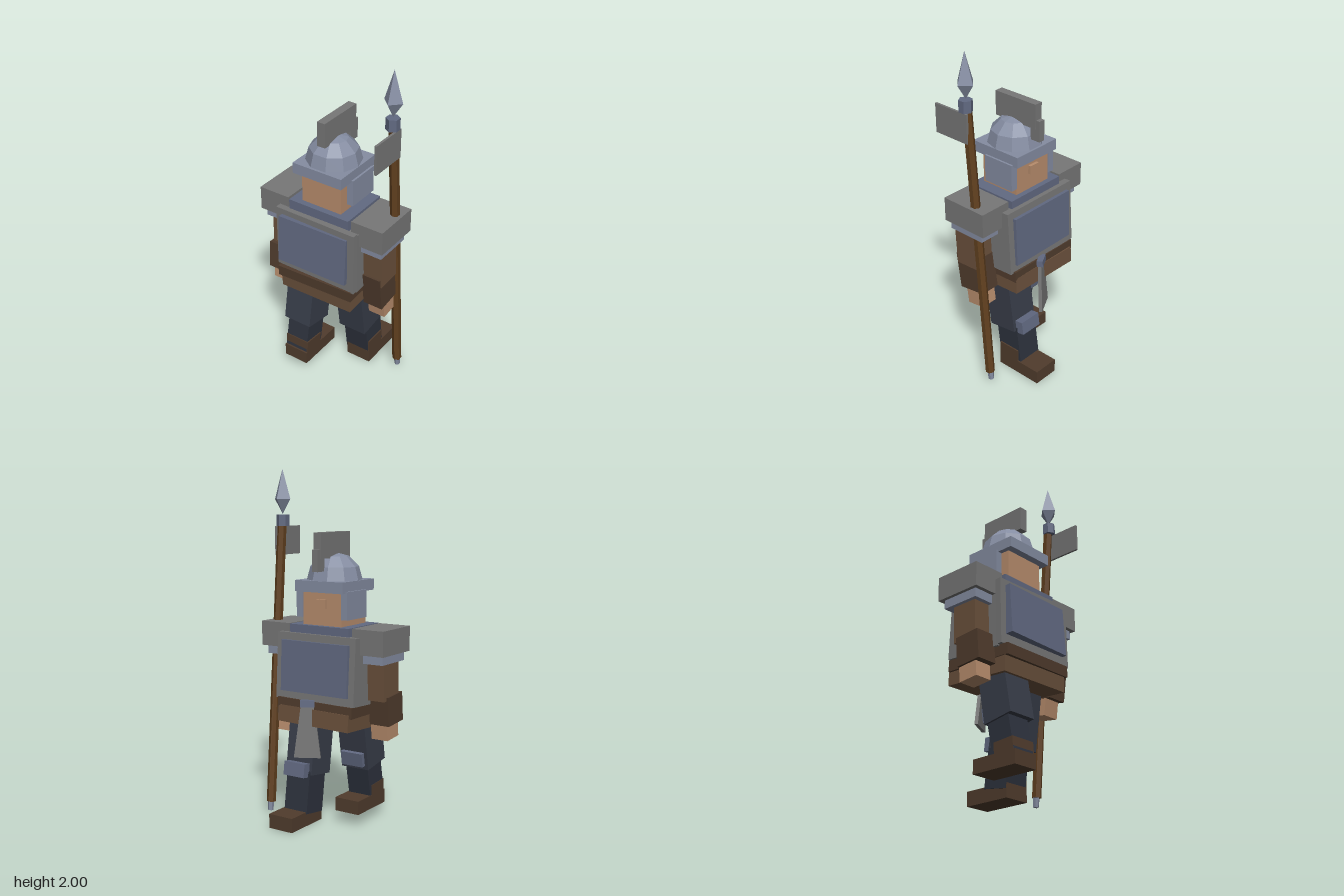
import * as THREE from 'three';

const mat = (color) => new THREE.MeshStandardMaterial({ color, flatShading: true });
const M = {
  grey: mat(0x777777), steel: mat(0x858da2), darkSteel: mat(0x626a82), skin: mat(0xb88d6d),
  tunic: mat(0x6b513c), leather: mat(0x503c2d), cloth: mat(0x383d49), shin: mat(0x2d323d), wood: mat(0x61401f),
};

export function createModel() {
  const root = new THREE.Group();

  const add = (parent, name, geometry, material, position, rotation = [0, 0, 0]) => {
    const mesh = new THREE.Mesh(geometry, material);
    mesh.name = name;
    mesh.position.set(...position);
    mesh.rotation.set(...rotation);
    parent.add(mesh);
    return mesh;
  };
  // Box given by its extents on each axis, turned about its own centre
  const box = (parent, name, material, [x0, x1], [y0, y1], [z0, z1], rotation) =>
    add(parent, name, new THREE.BoxGeometry(x1 - x0, y1 - y0, z1 - z0), material,
      [(x0 + x1) / 2, (y0 + y1) / 2, (z0 + z1) / 2], rotation);
  const group = (name) => {
    const g = new THREE.Group();
    g.name = name;
    root.add(g);
    return g;
  };

  // Head; the figure looks towards -z
  const head = group('head');
  box(head, 'face', M.skin, [-0.135, 0.12], [1.13, 1.36], [-0.065, 0.18]);
  box(head, 'nose', M.skin, [-0.04, 0.025], [1.235, 1.285], [-0.083, -0.05]);

  // Helmet with brim, cheek guards and crest
  const helmet = group('helmet');
  box(helmet, 'brim', M.steel, [-0.163, 0.15], [1.325, 1.388], [-0.1, 0.223]);
  add(helmet, 'dome', new THREE.SphereGeometry(0.157, 10, 3, 0, Math.PI * 2, 0, Math.PI / 2),
    M.steel, [-0.007, 1.383, 0.06]);
  box(helmet, 'cheekGuard', M.steel, [-0.175, -0.135], [1.18, 1.335], [-0.07, 0.127]);
  box(helmet, 'cheekGuard', M.steel, [0.122, 0.162], [1.18, 1.335], [-0.07, 0.127]);
  box(helmet, 'crest', M.grey, [-0.031, 0.019], [1.51, 1.652], [-0.108, 0.178]);
  box(helmet, 'crestFront', M.grey, [-0.025, 0.013], [1.44, 1.56], [-0.133, -0.07]);

  // Torso armour
  const torso = group('torso');
  box(torso, 'collar', M.darkSteel, [-0.2, 0.19], [1.06, 1.14], [-0.096, 0.216]);
  box(torso, 'cuirass', M.grey, [-0.265, 0.253], [0.71, 1.085], [-0.135, 0.232], [0.06, 0, 0]);
  box(torso, 'backPlate', M.grey, [-0.268, 0.255], [0.71, 1.085], [0.215, 0.252], [-0.01, -0.02, 0.01]);
  box(torso, 'backPanel', M.darkSteel, [-0.23, 0.213], [0.767, 1.05], [0.235, 0.28], [-0.06, 0.02, 0]);
  box(torso, 'chestPanel', M.darkSteel, [-0.228, 0.213], [0.767, 1.055], [-0.152, -0.115], [0.04, 0, 0]);

  // Belt, skirt and hanging front flap
  box(torso, 'belt', M.leather, [-0.252, 0.237], [0.655, 0.718], [-0.155, 0.27], [0.03, 0.02, 0.02]);
  box(torso, 'skirt', M.tunic, [-0.242, 0.228], [0.575, 0.67], [-0.163, 0.252], [0.06, 0, 0.02]);
  const flap = new THREE.Group();
  flap.name = 'frontFlap';
  flap.position.set(0.02, 0.565, -0.17);
  flap.rotation.set(0.06, 0.5, 0, 'YXZ');
  torso.add(flap);
  const flapShape = new THREE.Shape([[-0.075, -0.155], [0.075, -0.155], [0.035, 0.155], [-0.035, 0.155]]
    .map((p) => new THREE.Vector2(...p)));
  add(flap, 'flapCloth', new THREE.ExtrudeGeometry(flapShape, { depth: 0.02, bevelEnabled: false }),
    M.grey, [0, 0, -0.01]);
  box(flap, 'flapBuckle', M.darkSteel, [-0.04, 0.04], [0.13, 0.168], [-0.02, 0.015]);

  // Arms: the -x arm hangs back, the +x arm reaches forward to the spear
  const armSpecs = [
    { name: 'rightArm', pad: [-0.41, -0.215], cuff: [-0.39, -0.235], upper: [-0.368, -0.262], fore: [-0.378, -0.255],
      hand: [-0.365, -0.262], y: [0.515, 0.6, 0.765], zFore: [0.035, 0.19], zHand: [0.045, 0.165], tilt: -0.08 },
    { name: 'leftArm', pad: [0.203, 0.4], cuff: [0.225, 0.38], upper: [0.255, 0.37], fore: [0.245, 0.365],
      hand: [0.25, 0.355], y: [0.49, 0.585, 0.8], zFore: [-0.02, 0.15], zHand: [-0.015, 0.095], tilt: 0.14 },
  ];
  for (const a of armSpecs) {
    const arm = group(a.name);
    box(arm, 'pauldron', M.grey, a.pad, [1.0, 1.14], [-0.082, 0.204]);
    box(arm, 'pauldronCuff', M.steel, a.cuff, [0.95, 1.01], [-0.052, 0.18]);
    box(arm, 'upperArm', M.tunic, a.upper, [0.74, 0.97], [0.0, 0.157], [a.tilt * 0.4, 0, 0]);
    box(arm, 'forearm', M.leather, a.fore, [a.y[1], a.y[2]], a.zFore, [a.tilt, 0, 0]);
    box(arm, 'hand', M.skin, a.hand, [a.y[0], a.y[1] + 0.02], a.zHand, [a.tilt, 0, 0]);
  }

  // Legs in mid-stride: +x leg forward, -x leg back and lifted
  const forwardLeg = group('leftLeg');
  box(forwardLeg, 'thigh', M.cloth, [0.028, 0.205], [0.275, 0.61], [-0.1, 0.085], [0.14, 0, 0]);
  box(forwardLeg, 'kneePad', M.darkSteel, [0.045, 0.185], [0.28, 0.358], [-0.17, -0.11], [0.14, 0, 0]);
  box(forwardLeg, 'shin', M.shin, [0.035, 0.19], [0.06, 0.3], [-0.145, 0.01], [0.14, 0, 0]);
  box(forwardLeg, 'ankle', M.leather, [0.04, 0.198], [0.01, 0.155], [-0.14, -0.005]);
  box(forwardLeg, 'foot', M.leather, [0.04, 0.198], [0, 0.082], [-0.294, -0.003]);

  const backLeg = group('rightLeg');
  box(backLeg, 'thigh', M.cloth, [-0.22, -0.042], [0.325, 0.61], [0.06, 0.245], [-0.17, 0, 0]);
  box(backLeg, 'kneePad', M.darkSteel, [-0.2, -0.06], [0.335, 0.415], [0.05, 0.11], [-0.17, 0, 0]);
  box(backLeg, 'shin', M.shin, [-0.208, -0.063], [0.1, 0.36], [0.115, 0.26], [-0.19, 0, 0]);
  box(backLeg, 'ankle', M.leather, [-0.21, -0.055], [0.08, 0.212], [0.145, 0.275], [-0.08, 0, 0]);
  box(backLeg, 'foot', M.leather, [-0.21, -0.055], [0.07, 0.148], [-0.003, 0.287]);

  // Spear: leaning shaft, collar, four-sided point and small pennant
  const spear = group('spear');
  const lean = Math.atan2(0.125, 1.62);
  add(spear, 'shaft', new THREE.CylinderGeometry(0.027, 0.027, 1.62, 6), M.wood, [0.355, 0.875, -0.008], [lean, 0, 0]);
  add(spear, 'buttCap', new THREE.CylinderGeometry(0.02, 0.016, 0.06, 6), M.steel, [0.355, 0.045, -0.075], [lean, 0, 0]);
  add(spear, 'collar', new THREE.CylinderGeometry(0.038, 0.038, 0.066, 6), M.darkSteel, [0.355, 1.709, 0.064]);
  const tip = [[0, 0], [0.055, 0.085], [0, 0.255]].map((p) => new THREE.Vector2(...p));
  add(spear, 'spearPoint', new THREE.LatheGeometry(tip, 4), M.steel, [0.354, 1.745, 0.062]);
  box(spear, 'pennant', M.grey, [0.373, 0.386], [1.51, 1.675], [0.03, 0.257]);

  return root;
}
